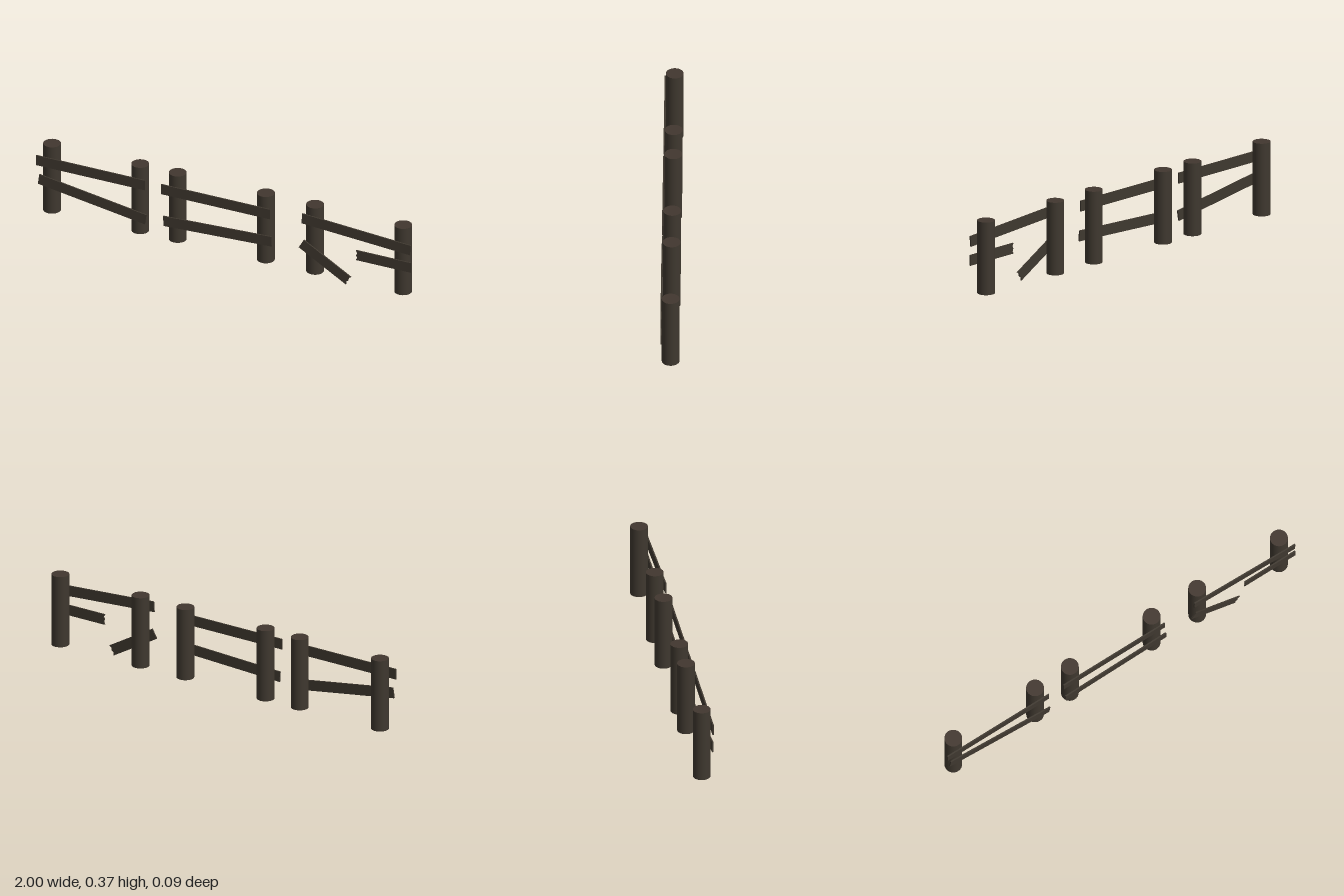
import * as THREE from 'three';

const POST_RADIUS = 0.043, POST_BASE = 0.008, POST_TOP = 0.373;
const RAIL_HEIGHT = 0.053, RAIL_DEPTH = 0.007, RAIL_BACK = 0.039;

export function createModel() {
  const bark = new THREE.MeshStandardMaterial({ color: 0x3f382f });
  bark.name = 'dark weathered wood';
  const endGrain = new THREE.MeshStandardMaterial({ color: 0x42372f });
  endGrain.name = 'brown end grain';

  const fence = new THREE.Group();
  fence.name = 'brokenFence';

  // Round posts with end-grain caps
  const postHeight = POST_TOP - POST_BASE;
  const postGeometry = new THREE.CylinderGeometry(POST_RADIUS, POST_RADIUS, postHeight, 32);
  function addPost(parent, x) {
    const post = new THREE.Mesh(postGeometry, [bark, endGrain, endGrain]);
    post.name = 'post';
    post.position.set(x, POST_BASE + postHeight / 2, -0.003);
    parent.add(post);
  }

  // Flat rails; a splintered end gets a small zigzag (-1 left, 1 right)
  function addRail(parent, name, x, y, length, degrees, splintered = 0) {
    const l = length / 2, h = RAIL_HEIGHT / 2;
    const endPoints = (side) => {
      const zigzag = splintered === side ? [0, 0.008, 0.002, 0.007, 0] : [0, 0];
      return zigzag.map((cut, i) => {
        const t = i / (zigzag.length - 1);
        return new THREE.Vector2(side * (l - cut), side * (-h + 2 * h * t));
      });
    };
    const shape = new THREE.Shape([...endPoints(1), ...endPoints(-1)]);
    const geometry = new THREE.ExtrudeGeometry(shape, { depth: RAIL_DEPTH, bevelEnabled: false });
    const rail = new THREE.Mesh(geometry, bark);
    rail.name = name;
    rail.position.set(x, y, RAIL_BACK);
    rail.rotation.z = THREE.MathUtils.degToRad(degrees);
    parent.add(rail);
  }

  // Three sections: post positions, then rails as [name, x, y, length, tilt, splintered end]
  const sections = [
    { name: 'rightSection', posts: [-0.937, -0.467], rails: [
      ['topRail', -0.709, 0.288, 0.582, 0],
      ['saggingRail', -0.7, 0.144, 0.578, -8.7],
    ] },
    { name: 'middleSection', posts: [-0.267, 0.203], rails: [
      ['topRail', -0.042, 0.288, 0.582, 0],
      ['lowerRail', -0.032, 0.128, 0.578, 2.4],
    ] },
    { name: 'leftSection', posts: [0.465, 0.935], rails: [
      ['topRail', 0.707, 0.288, 0.58, -3.8],
      ['fallenRailPiece', 0.54, 0.0955, 0.29, -30, 1],
      ['brokenRailPiece', 0.852, 0.174, 0.294, 0, -1],
    ] },
  ];
  for (const { name, posts, rails } of sections) {
    const section = new THREE.Group();
    section.name = name;
    posts.forEach((x) => addPost(section, x));
    rails.forEach((rail) => addRail(section, ...rail));
    fence.add(section);
  }
  return fence;
}
